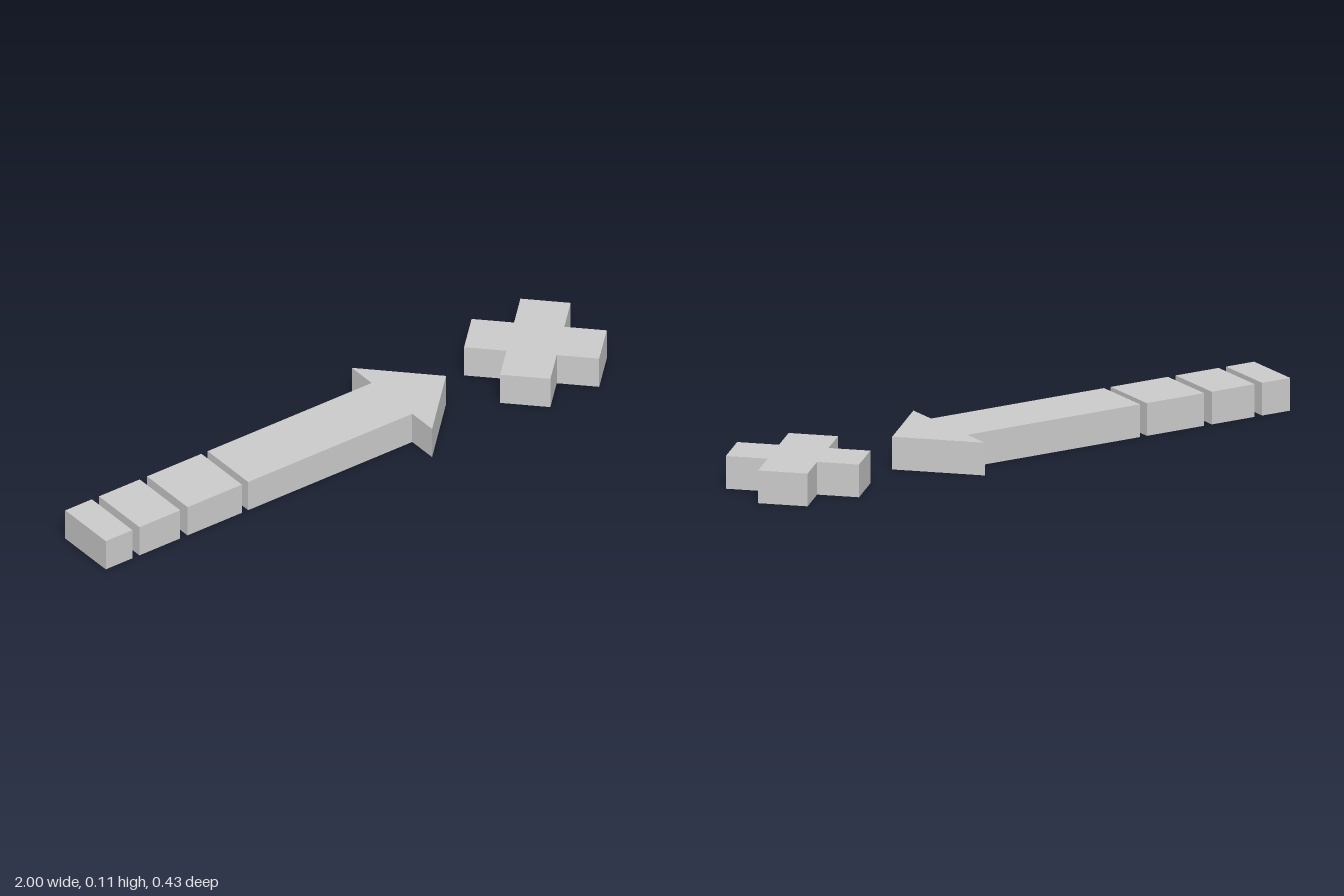
import * as THREE from 'three';

const HEIGHT = 0.109;
const HALF_WIDTH = 0.109;

export function createModel() {
  const group = new THREE.Group();
  const material = new THREE.MeshStandardMaterial({ color: 0xcccccc, flatShading: true });

  // Flat outline in plan, raised to the common height
  const addSlab = (name, points) => {
    const shape = new THREE.Shape(points.map(([x, y]) => new THREE.Vector2(x, y)));
    const geometry = new THREE.ExtrudeGeometry(shape, { depth: HEIGHT, bevelEnabled: false });
    geometry.rotateX(-Math.PI / 2);
    const mesh = new THREE.Mesh(geometry, material);
    mesh.name = name;
    group.add(mesh);
    return mesh;
  };

  // Tail dashes, growing towards the arrow
  [[-1, -0.894], [-0.866, -0.704], [-0.675, -0.459]].forEach(([x0, x1], i) => {
    const dash = new THREE.Mesh(new THREE.BoxGeometry(x1 - x0, HEIGHT, HALF_WIDTH * 2), material);
    dash.position.set((x0 + x1) / 2, HEIGHT / 2, 0);
    dash.name = `tailDash${i + 1}`;
    group.add(dash);
  });

  // Arrow: shaft and pointed head in one outline
  const neck = 0.218, tip = 0.433, headHalf = 0.216;
  addSlab('arrow', [
    [-0.434, -HALF_WIDTH], [neck, -HALF_WIDTH], [neck, -headHalf], [tip, 0],
    [neck, headHalf], [neck, HALF_WIDTH], [-0.434, HALF_WIDTH],
  ]);

  // Target cross: three corners per arm, repeated by quarter turns
  const arm = 0.2185, half = 0.0813;
  const outline = [];
  for (let i = 0; i < 4; i++) {
    const c = Math.cos(i * Math.PI / 2), s = Math.sin(i * Math.PI / 2);
    for (const [x, y] of [[arm, -half], [arm, half], [half, half]]) {
      outline.push([x * c - y * s, x * s + y * c]);
    }
  }
  const cross = addSlab('targetCross', outline);
  cross.rotation.y = Math.PI / 4;
  cross.position.x = 0.788;

  return group;
}
